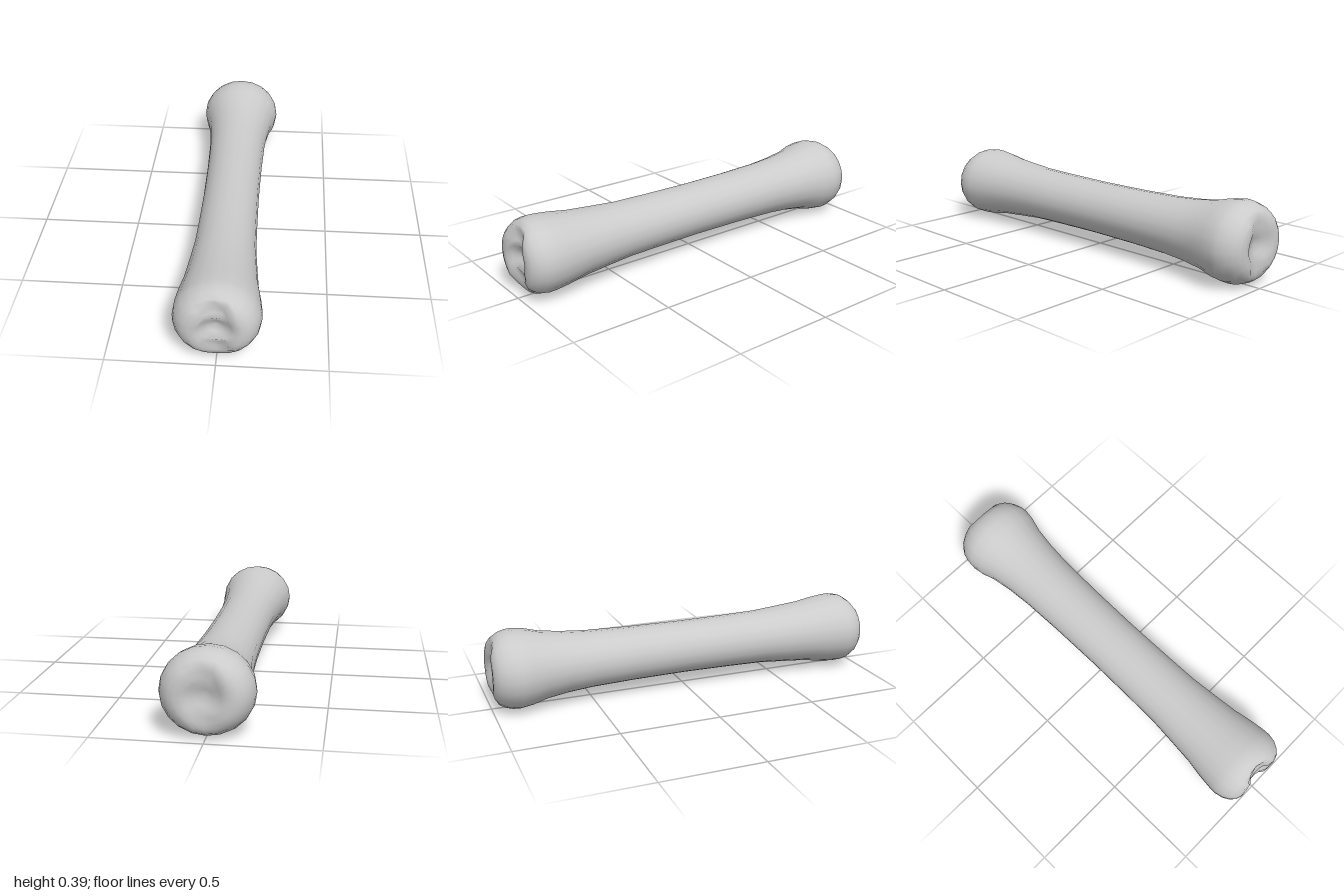
import * as THREE from 'three';
import { mergeVertices } from 'three/addons/utils/BufferGeometryUtils.js';

const SIDES = 20;
const FLATTEN = 0.925; // height of the cross-section relative to its width
const CENTRE_Y = 0.196;

// [radius, z] from the back pit, along the shaft, to the front pit
const profile = [
  [0, -0.955], [0.04, -0.97], [0.075, -0.985], [0.095, -0.998], [0.125, -1], [0.152, -0.992],
  [0.178, -0.972], [0.198, -0.94], [0.209, -0.905], [0.212, -0.87], [0.203, -0.81], [0.182, -0.74],
  [0.165, -0.63], [0.154, -0.5], [0.147, -0.28], [0.144, 0], [0.147, 0.25], [0.151, 0.43],
  [0.162, 0.56], [0.174, 0.69], [0.191, 0.79], [0.199, 0.86], [0.2, 0.895], [0.192, 0.935],
  [0.174, 0.967], [0.15, 0.99], [0.12, 1], [0.09, 0.998], [0.07, 0.98], [0.035, 0.955], [0, 0.94],
];

// Presses a shallow vertical groove into an end so it splits into two rounded knuckles
function grooveDepth(x, r, z) {
  const amount = z > 0 ? 0.042 : 0.022;
  const width = 1 - THREE.MathUtils.smoothstep(Math.abs(x), 0.02, 0.085);
  const rim = 1 - THREE.MathUtils.smoothstep(r, 0.13, 0.19);
  const pit = THREE.MathUtils.smoothstep(r, 0.06, 0.1);
  return Math.abs(z) > 0.93 ? amount * width * rim * pit : 0;
}

function boneGeometry() {
  let geometry = new THREE.LatheGeometry(profile.map(([r, z]) => new THREE.Vector2(r, z)), SIDES);
  geometry.rotateX(Math.PI / 2);
  const p = geometry.attributes.position;
  for (let i = 0; i < p.count; i++) {
    const x = p.getX(i), y = p.getY(i), z = p.getZ(i);
    const depth = grooveDepth(x, Math.hypot(x, y), z);
    p.setXYZ(i, x, CENTRE_Y + y * FLATTEN, z - Math.sign(z) * depth);
  }
  // Weld the seam and end points so shading stays smooth
  geometry.deleteAttribute('uv');
  geometry.deleteAttribute('normal');
  geometry = mergeVertices(geometry, 1e-4);
  geometry.computeVertexNormals();
  return geometry;
}

export function createModel() {
  const group = new THREE.Group();
  group.name = 'bone';
  const shaft = new THREE.Mesh(boneGeometry(), new THREE.MeshStandardMaterial({ color: 0xcccccc }));
  shaft.name = 'boneShaftWithKnuckles';
  group.add(shaft);
  return group;
}
